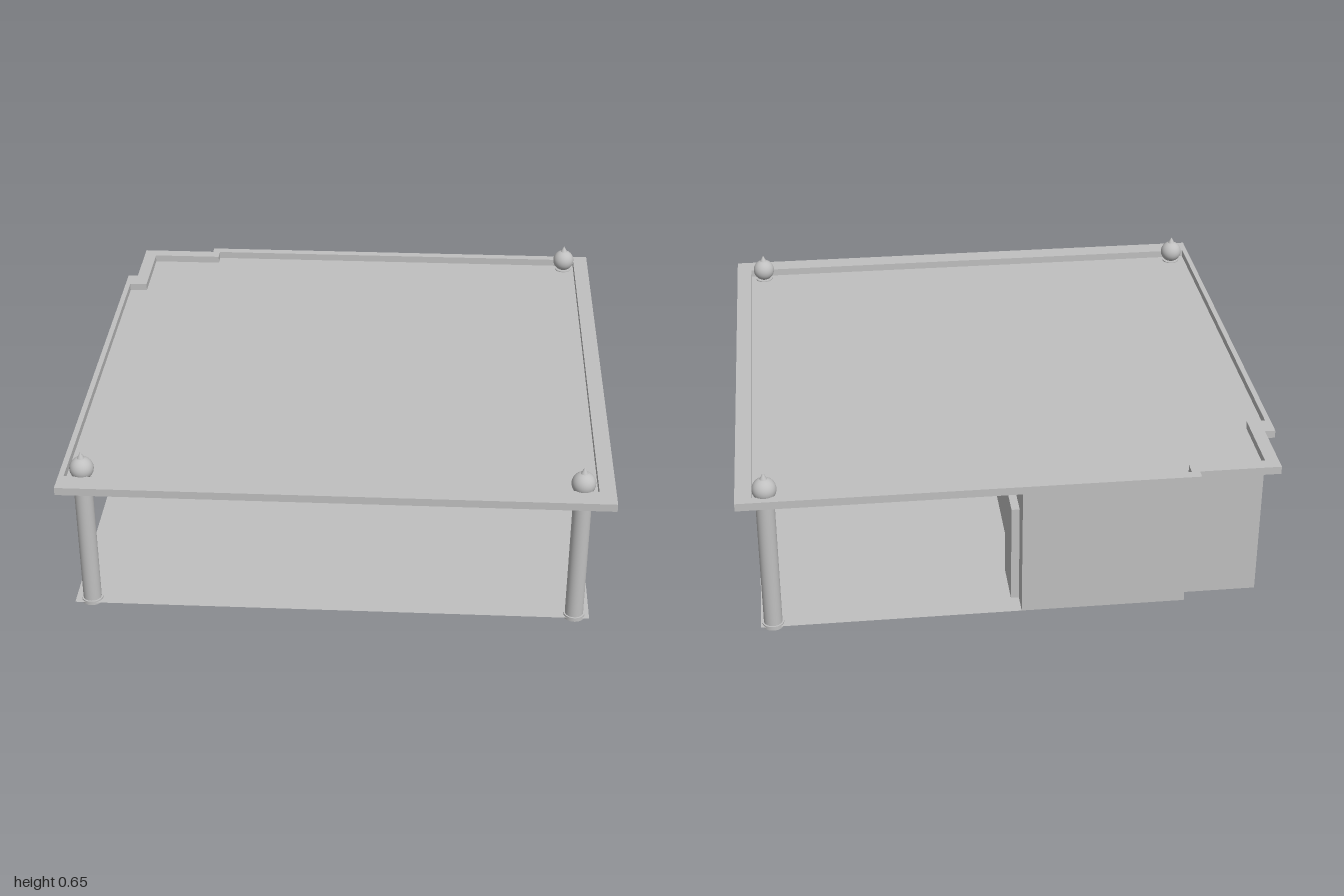
import * as THREE from 'three';

const grey = new THREE.MeshStandardMaterial({ color: 0xc0c0c0, side: THREE.DoubleSide });
grey.name = 'plain grey';

// Plan outlines as [x, z]
const RIM = [[-0.66, -1], [1, -1], [1, 0.99], [-1, 0.99], [-1, -0.71], [-0.96, -0.71], [-0.96, -0.965], [-0.66, -0.965]];
const DECK = [[-0.63, -0.965], [0.94, -0.965], [0.94, 0.91], [-0.98, 0.91], [-0.98, -0.63], [-0.91, -0.63], [-0.91, -0.915], [-0.63, -0.915]];
const ROOM = [[-0.02, -0.965], [-0.02, -0.02], [-0.98, -0.02], [-0.98, -0.63], [-0.91, -0.63], [-0.91, -0.915], [-0.63, -0.915], [-0.63, -0.965]];
const PAVING = [[-0.02, -0.965], [0.94, -0.965], [0.94, 0.91], [-0.98, 0.91], [-0.98, -0.02], [-0.02, -0.02]];
const FLOOR_Y = 0.01, ROOF_Y = 0.54, ROOF_TOP = 0.57;

const points = (plan) => plan.map(([x, z]) => new THREE.Vector2(x, -z));

export function createModel() {
  const model = new THREE.Group();
  const add = (name, geometry, x = 0, y = 0, z = 0, parent = model) => {
    const mesh = new THREE.Mesh(geometry, grey);
    mesh.name = name;
    mesh.position.set(x, y, z);
    parent.add(mesh);
    return mesh;
  };
  // Box given by its lower and upper limits
  const block = (name, x0, x1, y0, y1, z0, z1) =>
    add(name, new THREE.BoxGeometry(x1 - x0, y1 - y0, z1 - z0), (x0 + x1) / 2, (y0 + y1) / 2, (z0 + z1) / 2);
  const sheet = (name, plan, y) =>
    add(name, new THREE.ShapeGeometry(new THREE.Shape(points(plan))).rotateX(-Math.PI / 2), 0, y, 0);

  // Paved floor, left open below the room
  sheet('floor', PAVING, FLOOR_Y);
  block('floorSlab', -0.36, -0.03, FLOOR_Y, 0.02, -0.5, -0.3);
  block('floorStep', -0.74, -0.56, FLOOR_Y, 0.02, -0.42, -0.3);

  // Sunken roof deck within a low rim
  sheet('roofDeck', DECK, ROOF_Y + 0.001);
  const rim = new THREE.Shape(points(RIM));
  rim.holes.push(new THREE.Path(points(DECK)));
  add('roofRim', new THREE.ExtrudeGeometry(rim, { depth: ROOF_TOP - ROOF_Y, bevelEnabled: false }).rotateX(-Math.PI / 2), 0, ROOF_Y, 0);

  // Room walls around the stepped plan
  const walls = new THREE.Group();
  walls.name = 'roomWalls';
  model.add(walls);
  const height = ROOF_Y - FLOOR_Y;
  ROOM.forEach(([x0, z0], i) => {
    const [x1, z1] = ROOM[(i + 1) % ROOM.length];
    const wall = add('wall', new THREE.PlaneGeometry(Math.hypot(x1 - x0, z1 - z0), height),
      (x0 + x1) / 2, FLOOR_Y + height / 2, (z0 + z1) / 2, walls);
    // The outside lies to the left of the travel direction
    wall.rotation.y = Math.atan2(z1 - z0, -(x1 - x0));
  });

  // Door on the right wall, lintel beside it
  block('door', -0.02, 0.01, FLOOR_Y, 0.4, -0.88, -0.69);
  block('sideLintel', -0.02, -0.01, 0.383, 0.397, -0.335, -0.15);

  // Wide front window and its lintel
  block('frontWindow', -0.88, -0.22, 0.16, 0.405, -0.02, 0.005);
  block('frontLintel', -0.88, -0.22, 0.405, 0.425, -0.02, -0.008);

  // Tall framed window on the left wall
  const frame = new THREE.Shape(points([[-0.19, -0.06], [-0.045, -0.06], [-0.045, -0.48], [-0.19, -0.48]]));
  frame.holes.push(new THREE.Path(points([[-0.165, -0.085], [-0.07, -0.085], [-0.07, -0.455], [-0.165, -0.455]])));
  add('sideWindowFrame', new THREE.ExtrudeGeometry(frame, { depth: 0.022, bevelEnabled: false }).rotateY(-Math.PI / 2), -0.978, 0, 0);

  // Corner columns with a base, ball and pointed tip
  for (const [x, z] of [[-0.92, 0.875], [0.885, 0.88], [0.895, -0.935]]) {
    const column = new THREE.Group();
    column.name = 'column';
    column.position.set(x, 0, z);
    model.add(column);
    add('base', new THREE.CylinderGeometry(0.04, 0.04, 0.016, 32), 0, 0.008, 0, column);
    add('shaft', new THREE.CylinderGeometry(0.034, 0.034, 0.535, 32), 0, 0.2775, 0, column);
    add('ball', new THREE.SphereGeometry(0.044, 32, 20), 0, 0.585, 0, column);
    add('tip', new THREE.ConeGeometry(0.017, 0.032, 24), 0, 0.636, 0, column);
  }
  return model;
}
